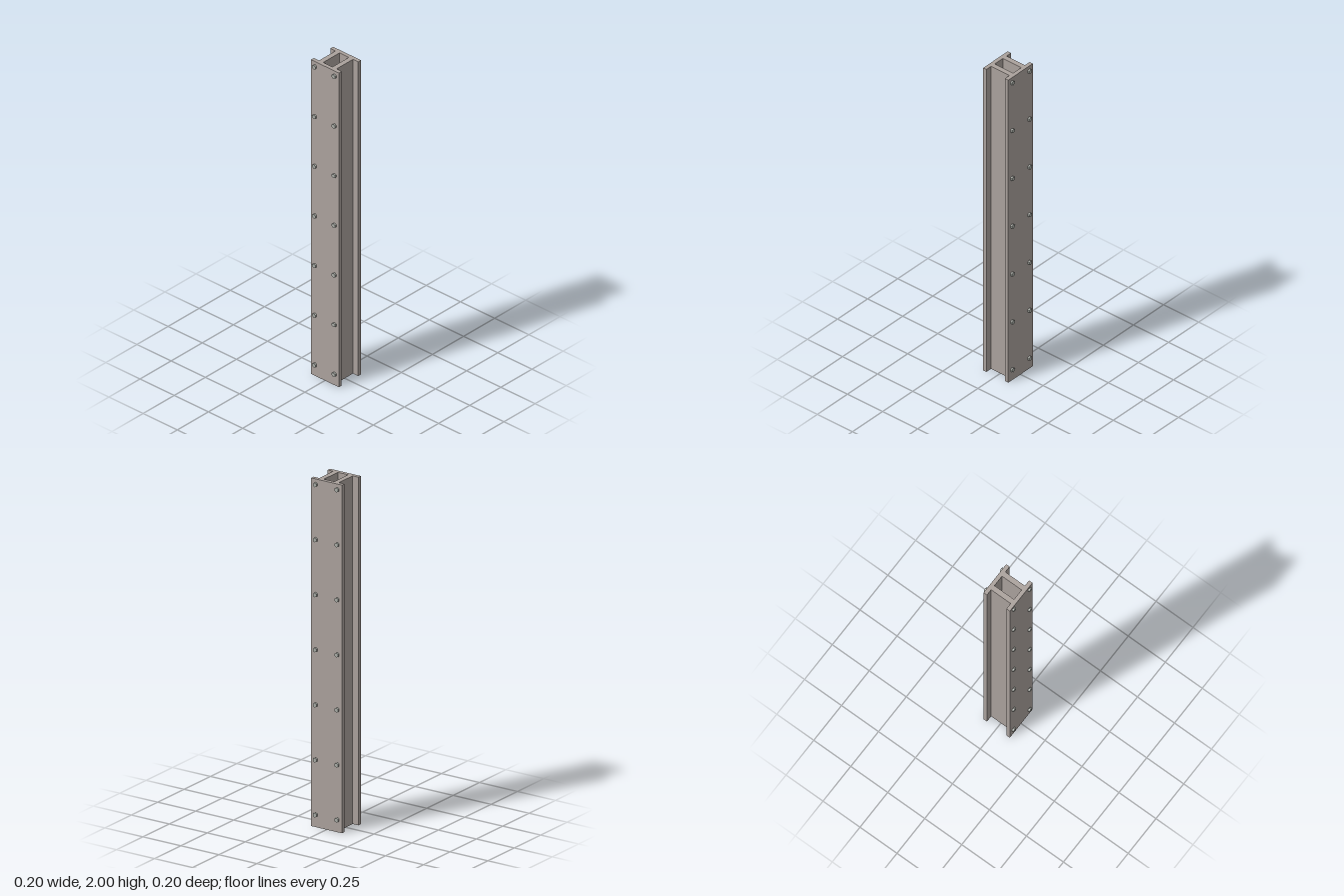
import * as THREE from 'three';

const HEIGHT = 2;
const OUT_X = 0.089, IN_X = 0.066;   // flange outer and inner faces
const FLANGE_Z = 0.102;              // flange half width
const WEB_OUT = 0.064, WEB_IN = 0.034; // web outer and inner faces

export function createModel() {
  const group = new THREE.Group();
  group.name = 'boltedColumn';
  const steel = new THREE.MeshStandardMaterial({ color: 0xaba29d });
  const boltSteel = new THREE.MeshStandardMaterial({ color: 0xa9aca6, flatShading: true });

  // Column section: two flanges joined by two webs, with a hollow core
  const quarter = [[OUT_X, 0], [OUT_X, FLANGE_Z], [IN_X, FLANGE_Z], [IN_X, WEB_OUT]];
  const mirrored = (sx, sy) => quarter.map(([x, y]) => new THREE.Vector2(x * sx, y * sy));
  const section = new THREE.Shape([
    ...mirrored(1, 1),
    ...mirrored(-1, 1).reverse(),
    ...mirrored(-1, -1).slice(1),
    ...mirrored(1, -1).reverse().slice(0, -1),
  ]);
  section.holes.push(new THREE.Path([
    new THREE.Vector2(-IN_X, -WEB_IN), new THREE.Vector2(-IN_X, WEB_IN),
    new THREE.Vector2(IN_X, WEB_IN), new THREE.Vector2(IN_X, -WEB_IN),
  ]));
  const columnGeometry = new THREE.ExtrudeGeometry(section, { depth: HEIGHT, bevelEnabled: false });
  columnGeometry.rotateX(-Math.PI / 2);
  const column = new THREE.Mesh(columnGeometry, steel);
  column.name = 'column';
  group.add(column);

  // Hexagonal bolt heads in two rows on each flange, one corner pointing up
  const boltGeometry = new THREE.CylinderGeometry(0.0135, 0.0135, 0.012, 6);
  boltGeometry.rotateY(Math.PI / 2).rotateZ(Math.PI / 2);
  const bolts = new THREE.Group();
  bolts.name = 'bolts';
  for (const side of [-1, 1]) {
    for (const z of [-0.0715, 0.0715]) {
      for (let i = 0; i < 7; i++) {
        const bolt = new THREE.Mesh(boltGeometry, boltSteel);
        bolt.name = 'boltHead';
        bolt.position.set(side * (OUT_X + 0.005), 0.071 + i * 0.3162, z);
        bolts.add(bolt);
      }
    }
  }
  group.add(bolts);
  return group;
}
